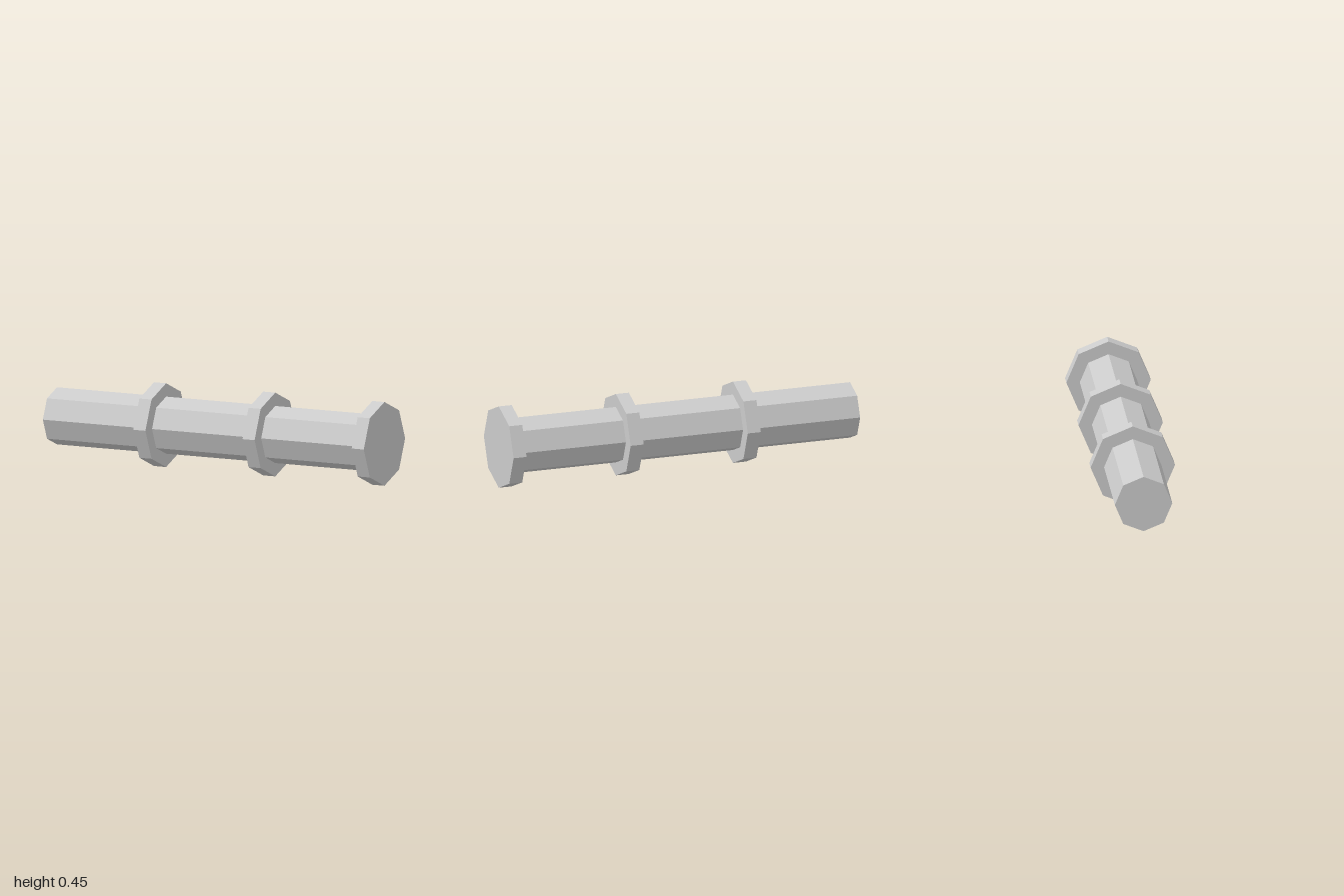
import * as THREE from 'three';

const RADIUS = 0.226;       // collar radius, also the height of the axis
const SHAFT_RADIUS = 0.154;
const COLLAR_WIDTH = 0.074;
const SPACING = 2 / 3;      // distance between collars

export function createModel() {
  const group = new THREE.Group();
  group.name = 'collaredPipe';
  const material = new THREE.MeshStandardMaterial({ color: 0xcccccc, flatShading: true });

  // Octagonal bar lying along x, from x0 to x1
  const addBar = (name, radius, x0, x1) => {
    const geometry = new THREE.CylinderGeometry(radius, radius, x1 - x0, 8).rotateZ(-Math.PI / 2);
    const mesh = new THREE.Mesh(geometry, material);
    mesh.name = name;
    mesh.position.set((x0 + x1) / 2, RADIUS, 0);
    group.add(mesh);
  };

  // Shaft, ending inside the end collar
  addBar('shaft', SHAFT_RADIUS, -1, 1 - COLLAR_WIDTH / 2);

  // End collar flush with the left end, and two more along the shaft
  ['endCollar', 'middleCollar', 'outerCollar'].forEach((name, i) => {
    const x1 = 1 - i * SPACING;
    addBar(name, RADIUS, x1 - COLLAR_WIDTH, x1);
  });

  return group;
}
